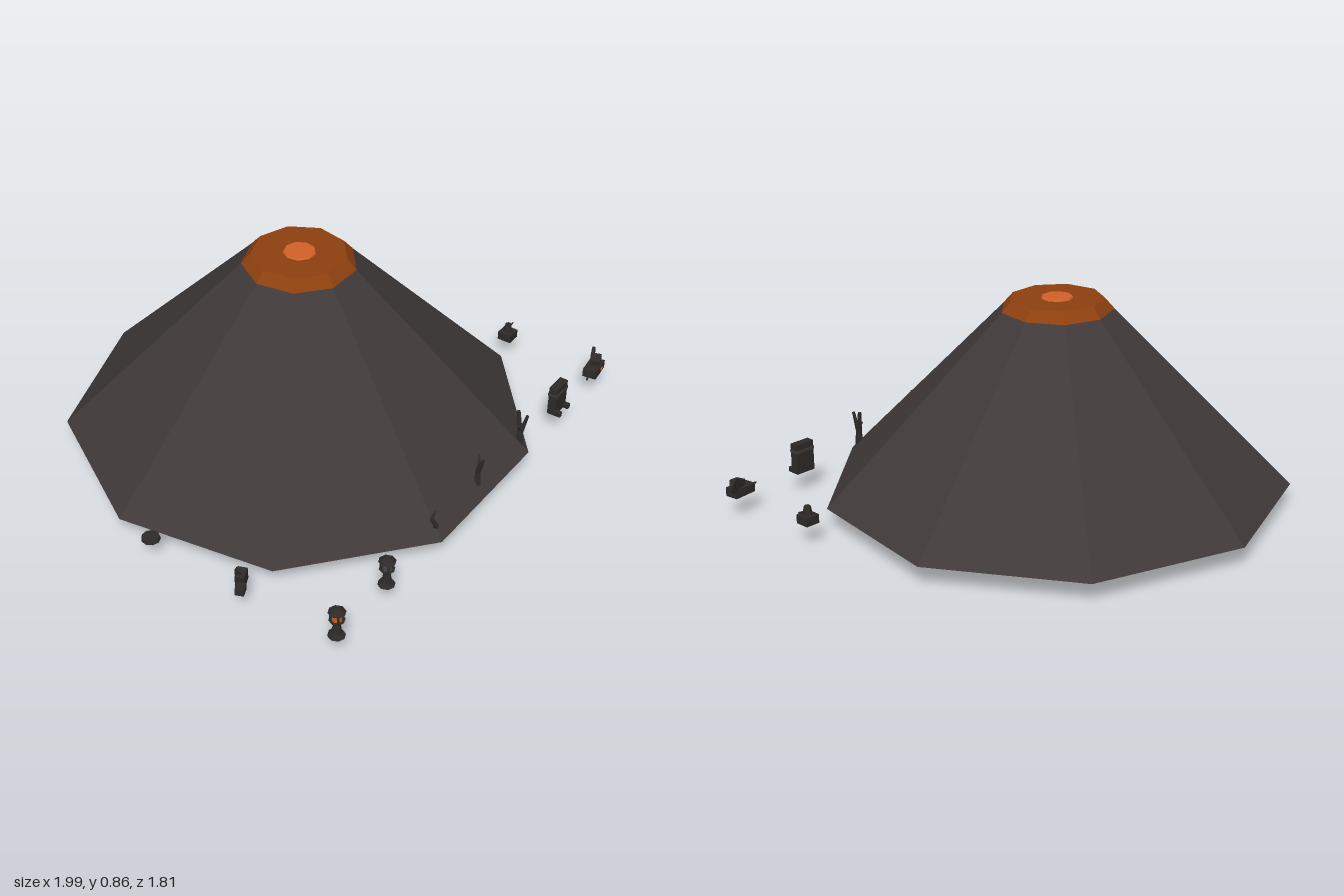
import * as THREE from 'three';

const flat = (name, color) => new THREE.MeshStandardMaterial({ name, color, flatShading: true });

export function createModel() {
  const basalt = flat('basalt', 0x403939);
  const charcoal = flat('charcoal', 0x2e2a2a);
  const rust = flat('cooledLava', 0x8e400f);
  const lava = flat('lava', 0xd2622a);
  const glow = flat('lampGlow', 0xc86018);
  const glass = flat('unlitGlass', 0x454649);

  const model = new THREE.Group();
  const G = 0.083; // ground level of the cone and props

  const add = (parent, name, geo, mat, x = 0, y = 0, z = 0, rx = 0, ry = 0, rz = 0) => {
    const m = new THREE.Mesh(geo, mat);
    m.name = name;
    m.position.set(x, y, z);
    m.rotation.set(rx, ry, rz);
    parent.add(m);
    return m;
  };
  const group = (name, x, z, ry = 0, y = G) => {
    const g = new THREE.Group();
    g.name = name;
    g.position.set(x, y, z);
    g.rotation.y = ry;
    model.add(g);
    return g;
  };
  const cyl = (top, bottom, h, n = 8) => new THREE.CylinderGeometry(top, bottom, h, n);
  const box = (w, h, d) => new THREE.BoxGeometry(w, h, d);
  // Tapered limb between two points
  const limb = (parent, name, a, b, r0, r1) => {
    const p = new THREE.Vector3(...a), q = new THREE.Vector3(...b);
    const d = q.clone().sub(p);
    const m = add(parent, name, cyl(r1, r0, d.length(), 6), charcoal);
    m.position.copy(p).add(q).multiplyScalar(0.5);
    m.quaternion.setFromUnitVectors(new THREE.Vector3(0, 1, 0), d.normalize());
  };

  // Volcano: nine-sided cone, a corner pointing back
  const volcano = group('volcano', -0.015, 0.023, Math.PI, 0);
  add(volcano, 'slopes', cyl(0.222, 0.933, 0.725, 9), basalt, 0, G + 0.3625);
  add(volcano, 'craterRim', cyl(0.186, 0.223, 0.042, 9), rust, 0, 0.829);
  add(volcano, 'lavaPool', cyl(0.06, 0.064, 0.006, 9), lava, 0, 0.853);

  // Faceted boulder below the base
  const boulder = group('boulder', -0.638, 0.027, 0, 0);
  const rock = new THREE.IcosahedronGeometry(1, 0);
  const rp = rock.attributes.position;
  for (let i = 0; i < rp.count; i++) {
    const x = rp.getX(i), y = rp.getY(i), z = rp.getZ(i);
    rp.setXYZ(i, x * 0.147, Math.min(y * 0.047 + x * 0.008, 0.034), z * 0.08);
  }
  rock.computeVertexNormals();
  add(boulder, 'boulderStone', rock, charcoal, 0, 0.045);

  // Lamp posts, one lit
  const lamp = (name, x, core) => {
    const g = group(name, x, 0.855);
    add(g, 'foot', cyl(0.025, 0.033, 0.014), charcoal, 0, 0.007);
    add(g, 'post', cyl(0.011, 0.02, 0.05), charcoal, 0, 0.039);
    add(g, 'tray', cyl(0.03, 0.02, 0.012), charcoal, 0, 0.068);
    add(g, 'lampCore', cyl(0.019, 0.019, 0.034), core, 0, 0.09);
    for (let i = 0; i < 4; i++) {
      const a = Math.PI / 4 + i * Math.PI / 2;
      add(g, 'cageBar', box(0.006, 0.038, 0.006), charcoal, 0.023 * Math.cos(a), 0.091, 0.023 * Math.sin(a));
    }
    add(g, 'cap', cyl(0.012, 0.033, 0.018), charcoal, 0, 0.119);
  };
  lamp('litLamp', -0.945, glow);
  lamp('unlitLamp', -0.635, glass);

  // Round flat stone
  const stone = group('flatStone', -0.947, 0.025);
  add(stone, 'disc', cyl(0.034, 0.037, 0.012, 9), charcoal, 0, 0.006);

  // Dead trees along the front edge
  const tree = (name, x, limbs) => {
    const g = group(name, x, 0.855);
    add(g, 'roots', cyl(0.014, 0.023, 0.016, 7), charcoal, 0, 0);
    limbs.forEach(l => limb(g, 'limb', ...l));
  };
  tree('twistedShrub', -0.325, [
    [[0, 0, 0], [0.012, 0.045, 0.005], 0.012, 0.009],
    [[0.012, 0.045, 0.005], [-0.004, 0.08, -0.008], 0.009, 0.007],
    [[-0.004, 0.08, -0.008], [0.006, 0.115, 0], 0.007, 0.003],
    [[0.01, 0.04, 0], [-0.02, 0.06, 0.012], 0.006, 0.003],
  ]);
  tree('deadTree', -0.015, [
    [[0, 0, 0], [0, 0.1, 0], 0.016, 0.011],
    [[0, 0.1, 0], [-0.01, 0.172, 0.025], 0.011, 0.006],
    [[0, 0.1, 0], [0.034, 0.148, -0.018], 0.008, 0.004],
  ]);
  tree('forkedStump', 0.305, [
    [[0, 0, 0], [0, 0.08, 0], 0.018, 0.013],
    [[0, 0.07, 0], [0.006, 0.172, -0.018], 0.012, 0.008],
    [[0, 0.07, 0], [0.006, 0.165, 0.022], 0.01, 0.006],
    [[0, 0.09, 0], [-0.02, 0.12, 0], 0.006, 0.004],
  ]);

  // Upright slab with two feet
  const slab = group('slab', 0.61, 0.853);
  add(slab, 'panel', box(0.088, 0.127, 0.035), charcoal, 0, 0.0635);
  add(slab, 'crossBand', box(0.09, 0.012, 0.041), basalt, 0, 0.095);
  for (const s of [-1, 1]) add(slab, 'foot', box(0.018, 0.02, 0.026), charcoal, s * 0.034, 0.01, 0.026);

  // Broken cart with a raised wheel
  const cart = group('brokenCart', 0.925, 0.855, 0.12);
  add(cart, 'bed', box(0.1, 0.036, 0.058), charcoal, 0, 0.018);
  add(cart, 'load', box(0.05, 0.03, 0.04), charcoal, 0.015, 0.05, 0, 0, 0.2, 0.15);
  add(cart, 'wheel', cyl(0.03, 0.03, 0.012, 10), charcoal, 0.045, 0.054, -0.024, Math.PI / 2, 0, -0.2);
  limb(cart, 'handle', [-0.045, 0.025, 0], [-0.088, 0.016, 0.004], 0.004, 0.004);
  add(cart, 'ember', box(0.014, 0.012, 0.006), glow, 0.012, 0.018, 0.03);

  // Small block with a knob
  const block = group('knobBlock', 0.925, 0.443);
  add(block, 'base', box(0.06, 0.036, 0.06), charcoal, 0, 0.018);
  add(block, 'knob', cyl(0.013, 0.02, 0.036, 6), charcoal, 0, 0.054);
  limb(block, 'peg', [0, 0.05, 0], [0.042, 0.056, 0], 0.004, 0.003);

  // Rubble heap
  const rubble = group('rubble', -0.952, 0.443, 0.4);
  add(rubble, 'largeBlock', box(0.05, 0.055, 0.036), charcoal, 0.018, 0.028, 0, 0, 0, 0.12);
  add(rubble, 'smallBlock', box(0.042, 0.026, 0.034), charcoal, -0.026, 0.013, 0.008);
  add(rubble, 'loosePiece', box(0.022, 0.022, 0.022), charcoal, 0.012, 0.062, -0.008, 0.4, 0.3, 0.2);

  return model;
}
